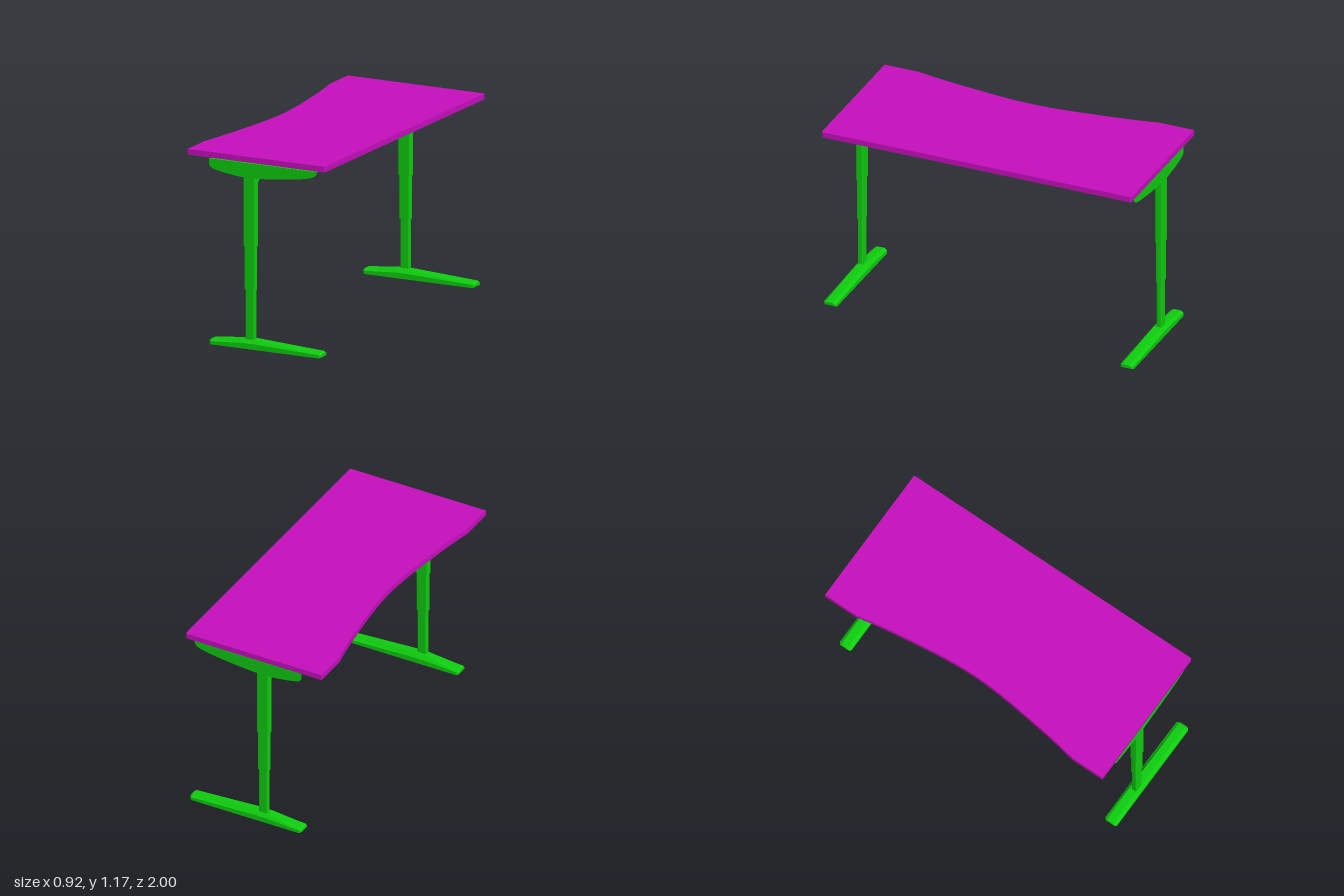
import * as THREE from 'three';

const green = new THREE.MeshStandardMaterial({ color: 0x0fcf0f, side: THREE.DoubleSide });
const magenta = new THREE.MeshStandardMaterial({ color: 0xc80fbf });

function add(parent, name, geometry, material) {
  const mesh = new THREE.Mesh(geometry, material);
  mesh.name = name;
  parent.add(mesh);
  return mesh;
}

const extrude = (shape, depth) =>
  new THREE.ExtrudeGeometry(shape, { depth, bevelEnabled: false, curveSegments: 8 });

// Upright tube with small rounded corners, from y0 to y1
function tube(x0, x1, z0, z1, y0, y1) {
  const a = (x1 - x0) / 2, b = (z1 - z0) / 2, r = 0.008;
  const s = new THREE.Shape();
  s.moveTo(-a + r, -b);
  s.lineTo(a - r, -b).quadraticCurveTo(a, -b, a, -b + r);
  s.lineTo(a, b - r).quadraticCurveTo(a, b, a - r, b);
  s.lineTo(-a + r, b).quadraticCurveTo(-a, b, -a, b - r);
  s.lineTo(-a, -b + r).quadraticCurveTo(-a, -b, -a + r, -b);
  return extrude(s, y1 - y0).rotateX(-Math.PI / 2).translate((x0 + x1) / 2, y0, (z0 + z1) / 2);
}

// Hollow foot, open underneath: cross-sections swept along x
function footGeometry() {
  // x, bottom, top, half width
  const stations = [
    [-0.32, 0.01, 0.028, 0.032], [-0.308, 0.003, 0.036, 0.042], [-0.09, 0.003, 0.059, 0.042],
    [-0.02, 0.003, 0.06, 0.042], [0.42, 0.003, 0.036, 0.042], [0.432, 0.01, 0.029, 0.032],
  ];
  const rings = stations.map(([x, y, h, w]) => {
    const m = y + (h - y) * 0.6;
    return [[-w, y], [-w, m], [-w * 0.55, h], [w * 0.55, h], [w, m], [w, y]].map(([z, v]) => [x, v, z]);
  });
  const pos = [];
  const tri = (a, b, c) => pos.push(...a, ...b, ...c);
  for (let i = 0; i < rings.length - 1; i++) {
    for (let j = 0; j < 5; j++) {
      const a = rings[i][j], b = rings[i][j + 1], c = rings[i + 1][j + 1], d = rings[i + 1][j];
      tri(a, b, c);
      tri(a, c, d);
    }
  }
  const first = rings[0], last = rings[rings.length - 1];
  for (let j = 1; j < 5; j++) {
    tri(first[0], first[j + 1], first[j]);
    tri(last[0], last[j], last[j + 1]);
  }
  const g = new THREE.BufferGeometry();
  g.setAttribute('position', new THREE.Float32BufferAttribute(pos, 3));
  g.computeVertexNormals();
  return g;
}

// Curved side plate under the top
function bracketShape() {
  const s = new THREE.Shape();
  s.moveTo(-0.32, 1.134);
  s.lineTo(-0.32, 1.105);
  s.bezierCurveTo(-0.318, 1.08, -0.3, 1.074, -0.27, 1.068);
  s.bezierCurveTo(-0.2, 1.053, -0.12, 1.044, -0.05, 1.044);
  s.bezierCurveTo(0.06, 1.047, 0.22, 1.064, 0.32, 1.083);
  s.bezierCurveTo(0.37, 1.093, 0.4, 1.102, 0.4, 1.134);
  return s;
}

function createModel() {
  const desk = new THREE.Group();
  desk.name = 'desk';

  // Worktop with a scooped long edge
  const top = new THREE.Shape();
  top.moveTo(-0.46, -1);
  top.lineTo(0.452, -1);
  top.lineTo(0.457, -0.995);
  top.lineTo(0.457, 0.995);
  top.lineTo(0.452, 1);
  top.lineTo(-0.46, 1);
  top.lineTo(-0.46, 0.78);
  const scoop = [[0.432, 0.63], [0.403, 0.43], [0.376, 0.2], [0.366, 0],
    [0.376, -0.2], [0.403, -0.43], [0.432, -0.63], [0.46, -0.78]];
  top.splineThru(scoop.map(([x, z]) => new THREE.Vector2(-x, z)));
  add(desk, 'worktop', extrude(top, 0.035).rotateX(-Math.PI / 2).translate(0, 1.14, 0), magenta);

  // Crossbeam with sloping corner braces
  const beam = new THREE.Shape();
  [[0.945, 1.01], [0.935, 1.015], [0.87, 1.063], [0.84, 1.074]].forEach(([z, y], i) =>
    i ? beam.lineTo(z, y) : beam.moveTo(z, y));
  [[0.84, 1.074], [0.87, 1.063], [0.935, 1.015], [0.945, 1.01], [0.945, 1.124]].forEach(([z, y]) =>
    beam.lineTo(-z, y));
  beam.lineTo(0.945, 1.124);
  add(desk, 'crossbeam', extrude(beam, 0.07).rotateY(-Math.PI / 2).translate(-0.02, 0, 0), green);

  for (const side of [1, -1]) {
    const leg = new THREE.Group();
    leg.name = side > 0 ? 'frontLeg' : 'backLeg';
    desk.add(leg);

    // Telescoping column: x range, outward z range, y range
    const sections = [
      ['upperColumn', -0.095, -0.015, 0.943, 0.99, 0.625, 1.124],
      ['middleColumn', -0.09, -0.02, 0.946, 0.986, 0.36, 0.64],
      ['lowerColumn', -0.084, -0.025, 0.949, 0.982, 0.05, 0.37],
    ];
    for (const [name, x0, x1, z0, z1, y0, y1] of sections) {
      const [a, b] = side > 0 ? [z0, z1] : [-z1, -z0];
      add(leg, name, tube(x0, x1, a, b, y0, y1), green);
    }

    add(leg, 'foot', footGeometry(), green).position.z = side * 0.958;

    // Support bracket: upright plate and flat flange
    add(leg, 'bracketPlate', extrude(bracketShape(), 0.004), green).position.z = side * 0.992 - 0.002;
    add(leg, 'bracketFlange', new THREE.BoxGeometry(0.71, 0.004, 0.07), green)
      .position.set(0.04, 1.132, side * 0.957);
  }
  return desk;
}

export { createModel };
